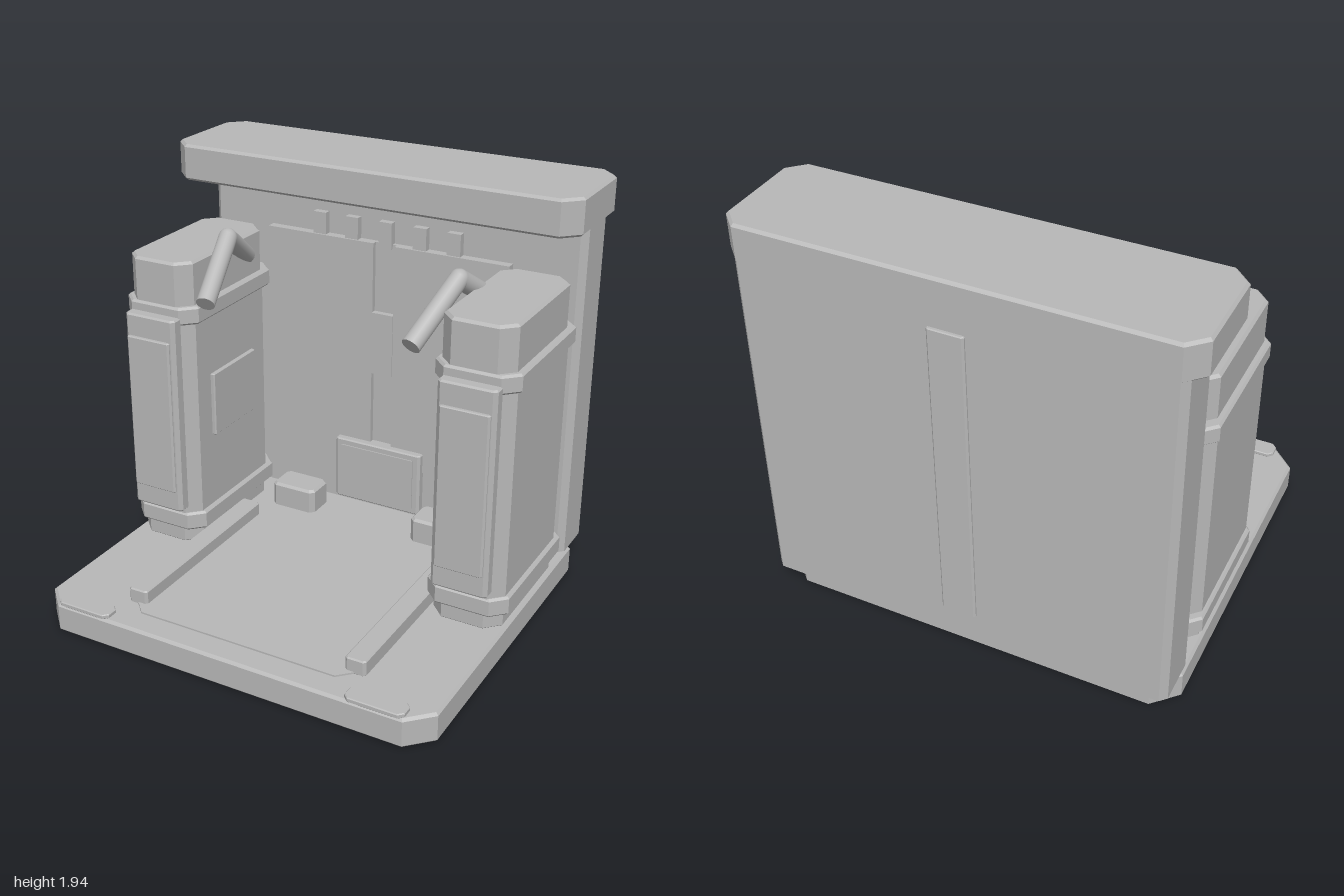
import * as THREE from 'three';

const grey = new THREE.MeshStandardMaterial({ color: 0xb8b8b8 });
grey.name = 'plain grey';

export function createModel() {
  const model = new THREE.Group();
  model.name = 'bay';

  // Box between two corners, with cut vertical corners and bevelled rims
  function block(name, x0, x1, y0, y1, z0, z1, cut = 0, bevel = 0, parent = model) {
    const w = (x1 - x0) / 2, h = y1 - y0, d = (z1 - z0) / 2;
    let geo;
    if (cut > 0) {
      const a = w - bevel, b = d - bevel, c = cut;
      const shape = new THREE.Shape([
        [a - c, -b], [a, -b + c], [a, b - c], [a - c, b],
        [-a + c, b], [-a, b - c], [-a, -b + c], [-a + c, -b],
      ].map(([x, y]) => new THREE.Vector2(x, y)));
      geo = new THREE.ExtrudeGeometry(shape, {
        depth: h - 2 * bevel, bevelEnabled: bevel > 0,
        bevelSize: bevel, bevelThickness: bevel, bevelSegments: 1,
      });
      geo.translate(0, 0, bevel - h / 2);
      geo.rotateX(-Math.PI / 2);
    } else {
      geo = new THREE.BoxGeometry(2 * w, h, 2 * d);
    }
    const mesh = new THREE.Mesh(geo, grey);
    mesh.name = name;
    mesh.position.set((x0 + x1) / 2, (y0 + y1) / 2, (z0 + z1) / 2);
    parent.add(mesh);
    return mesh;
  }

  // Straight round bar between two points
  function bar(name, from, to, r, parent) {
    const a = new THREE.Vector3(...from), b = new THREE.Vector3(...to);
    const mesh = new THREE.Mesh(new THREE.CylinderGeometry(r, r, a.distanceTo(b), 24), grey);
    mesh.name = name;
    mesh.position.copy(a).add(b).multiplyScalar(0.5);
    mesh.quaternion.setFromUnitVectors(new THREE.Vector3(0, 1, 0), b.sub(a).normalize());
    parent.add(mesh);
  }

  // Main structure
  block('base', -0.96, 0.96, 0, 0.14, -0.81, 0.89, 0.1, 0.012);
  block('floorPlate', -0.545, 0.545, 0.135, 0.148, -0.58, 0.77, 0.06);
  block('backWall', -0.95, 0.95, 0.13, 1.79, -0.88, -0.62, 0.025, 0.008);
  block('roof', -1, 1, 1.77, 1.94, -0.88, -0.335, 0.07, 0.012);
  block('rearStrip', -0.08, 0.08, 0.26, 1.72, -0.895, -0.87, 0.006, 0.004);

  // Wall face
  block('lowerWallPanel', -0.62, 0.62, 0.19, 0.41, -0.63, -0.585);
  block('centreStrip', -0.055, 0.055, 0.41, 1.53, -0.63, -0.6);
  block('centreLatch', -0.055, 0.055, 0.88, 1.19, -0.61, -0.57);
  for (const x of [-0.345, -0.175, 0, 0.175, 0.345]) {
    block('wallTooth', x - 0.033, x + 0.033, x === 0 ? 1.51 : 1.53, 1.635, -0.625, -0.585);
  }

  // Console with a framed screen
  block('console', -0.23, 0.23, 0.19, 0.51, -0.62, -0.54, 0.008, 0.006);
  block('consoleScreen', -0.195, 0.195, 0.22, 0.48, -0.545, -0.534);

  for (const s of [-1, 1]) {
    const side = new THREE.Group();
    side.name = s > 0 ? 'leftSide' : 'rightSide';
    model.add(side);
    const part = (name, xa, xb, ...rest) =>
      block(name, Math.min(s * xa, s * xb), Math.max(s * xa, s * xb),
        rest[0], rest[1], rest[2], rest[3], rest[4], rest[5], side);

    part('wallPanel', 0.055, 0.62, 0.41, 1.53, -0.63, -0.575);

    // Tower
    part('towerFoot', 0.61, 0.94, 0.135, 0.22, -0.535, 0.15, 0.06, 0.01);
    part('towerBody', 0.603, 0.95, 0.25, 1.3, -0.537, 0.155, 0.06);
    part('towerCap', 0.61, 0.94, 1.3, 1.545, -0.535, 0.15, 0.055, 0.012);
    for (const [y0, y1] of [[0.21, 0.3], [1.255, 1.34]]) {
      part('towerCollar', 0.583, 0.968, y0, y1, -0.578, 0.162, 0.06, 0.01);
    }
    part('frontPanel', 0.643, 0.908, 0.333, 1.295, 0.14, 0.215, 0.012, 0.008);
    part('frontPlate', 0.663, 0.89, 0.44, 1.19, 0.21, 0.232, 0.006, 0.004);
    part('innerPlate', 0.583, 0.61, 0.66, 0.97, -0.37, -0.01, 0.004, 0.003);

    // Bent arm over the tower's inner edge
    const bend = [s * 0.57, 1.6, -0.14];
    bar('armFront', bend, [s * 0.5, 1.39, 0.162], 0.043, side);
    bar('armRear', bend, [s * 0.64, 1.43, -0.4], 0.043, side);
    const elbow = new THREE.Mesh(new THREE.SphereGeometry(0.043, 24, 16), grey);
    elbow.name = 'armElbow';
    elbow.position.set(...bend);
    side.add(elbow);

    // Hose behind the tower
    bar('rearHose', [s * 0.77, 0.72, -0.5], [s * 0.77, 0.37, -0.6], 0.035, side);

    // Floor details
    part('floorRail', 0.498, 0.595, 0.135, 0.21, -0.25, 0.71, 0.008, 0.006);
    part('floorBlock', 0.265, 0.5, 0.135, 0.268, -0.53, -0.37, 0.015, 0.012);
    part('frontMarker', 0.585, 0.855, 0.138, 0.16, 0.8, 0.893, 0.02, 0.004);
  }
  return model;
}
